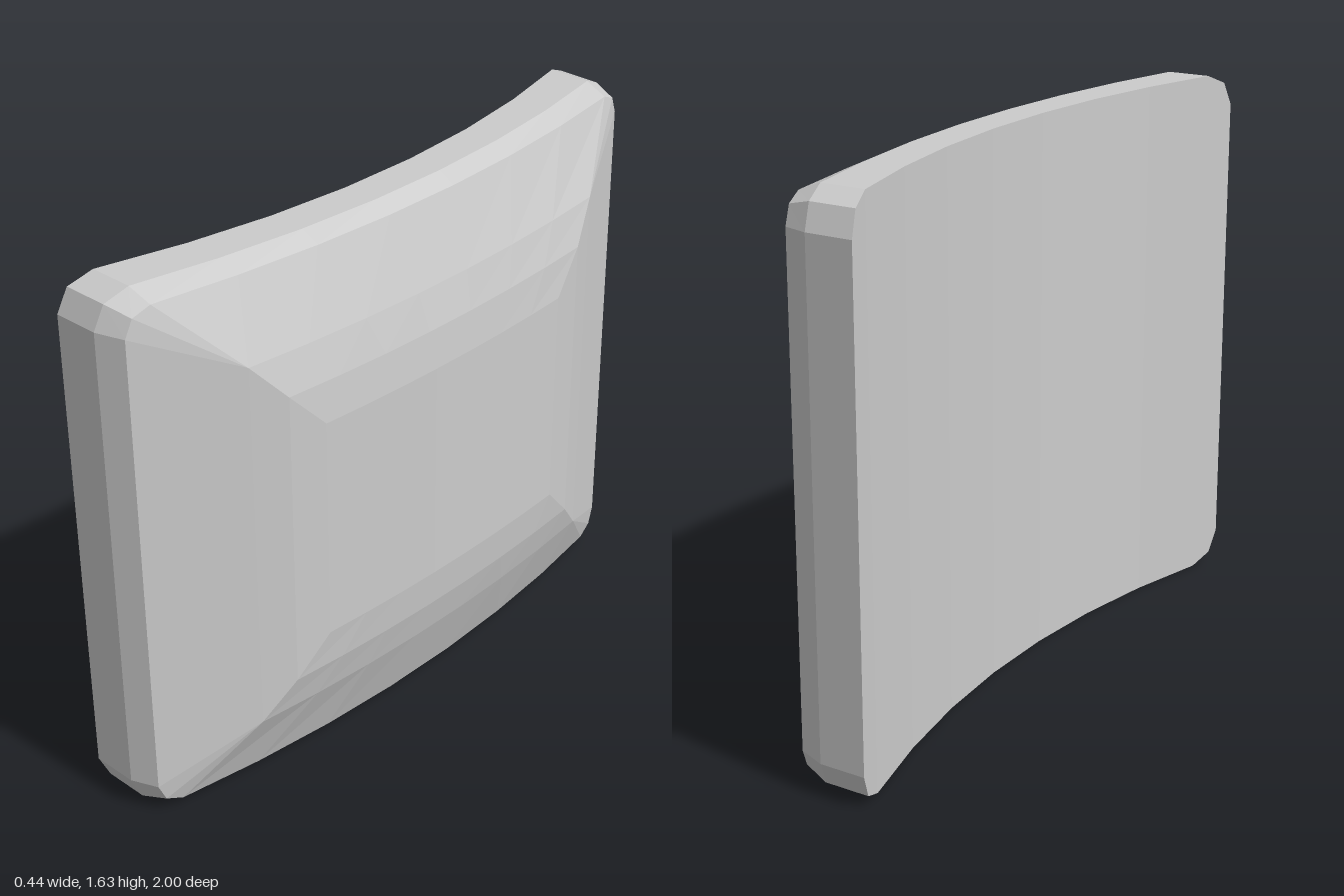
import * as THREE from 'three';

const MID_Y = 0.815, SEGMENTS = 7;

// Concentric outlines from the concave back to the domed front.
// hz, hy: half sizes; c: corner cut; x = x0 - bend * z^2
const RINGS = [
  { hz: 1.0, hy: 0.815, c: 0.1, x0: -0.06, bend: 0.16 },
  { hz: 1.0, hy: 0.815, c: 0.1, x0: 0.05, bend: 0.13 },
  { hz: 0.97, hy: 0.787, c: 0.075, x0: 0.102, bend: 0.107 },
  { hz: 0.69, hy: 0.57, c: 0, x0: 0.18, bend: 0.09 },
  { hz: 0.59, hy: 0.457, c: 0, x0: 0.208, bend: 0.085 },
  { hz: 0.48, hy: 0.34, c: 0, x0: 0.22, bend: 0.08 },
];

// One closed outline: upper half from -z to +z, then the lower half back
function outline({ hz, hy, c, x0, bend }) {
  const half = [[-hz, hy - c], [-hz + c * 0.3, hy - c * 0.3]];
  for (let i = 0; i <= SEGMENTS; i++) half.push([(hz - c) * (2 * i / SEGMENTS - 1), hy]);
  half.push([hz - c * 0.3, hy - c * 0.3], [hz, hy - c]);
  const lower = half.map(([z, y]) => [z, -y]).reverse();
  return [...half, ...lower].map(([z, y]) => new THREE.Vector3(x0 - bend * z * z, MID_Y + y, z));
}

function cushionGeometry() {
  const rings = RINGS.map(outline);
  const n = rings[0].length;
  const points = [];
  const tri = (a, b, c) => {
    if (new THREE.Triangle(a, b, c).getArea() > 1e-7) points.push(a, b, c);
  };
  const quad = (a, b, c, d) => { tri(a, b, c); tri(a, c, d); };

  // Rim, bevel and padded slopes
  for (let r = 0; r < rings.length - 1; r++) {
    const a = rings[r], b = rings[r + 1];
    for (let i = 0; i < n; i++) {
      const k = (i + 1) % n;
      quad(a[i], a[k], b[k], b[i]);
    }
  }
  // Curved back and front panels in vertical strips
  const back = rings[0], front = rings[rings.length - 1];
  for (let i = 0; i < n / 2 - 1; i++) {
    quad(front[i], front[i + 1], front[n - 2 - i], front[n - 1 - i]);
    quad(back[n - 1 - i], back[n - 2 - i], back[i + 1], back[i]);
  }
  const geometry = new THREE.BufferGeometry().setFromPoints(points);
  geometry.computeVertexNormals();
  return geometry;
}

export function createModel() {
  const model = new THREE.Group();
  model.name = 'curvedBackrest';
  const material = new THREE.MeshStandardMaterial({ color: 0xcccccc, flatShading: true });
  const cushion = new THREE.Mesh(cushionGeometry(), material);
  cushion.name = 'backrestCushion';
  model.add(cushion);
  return model;
}
